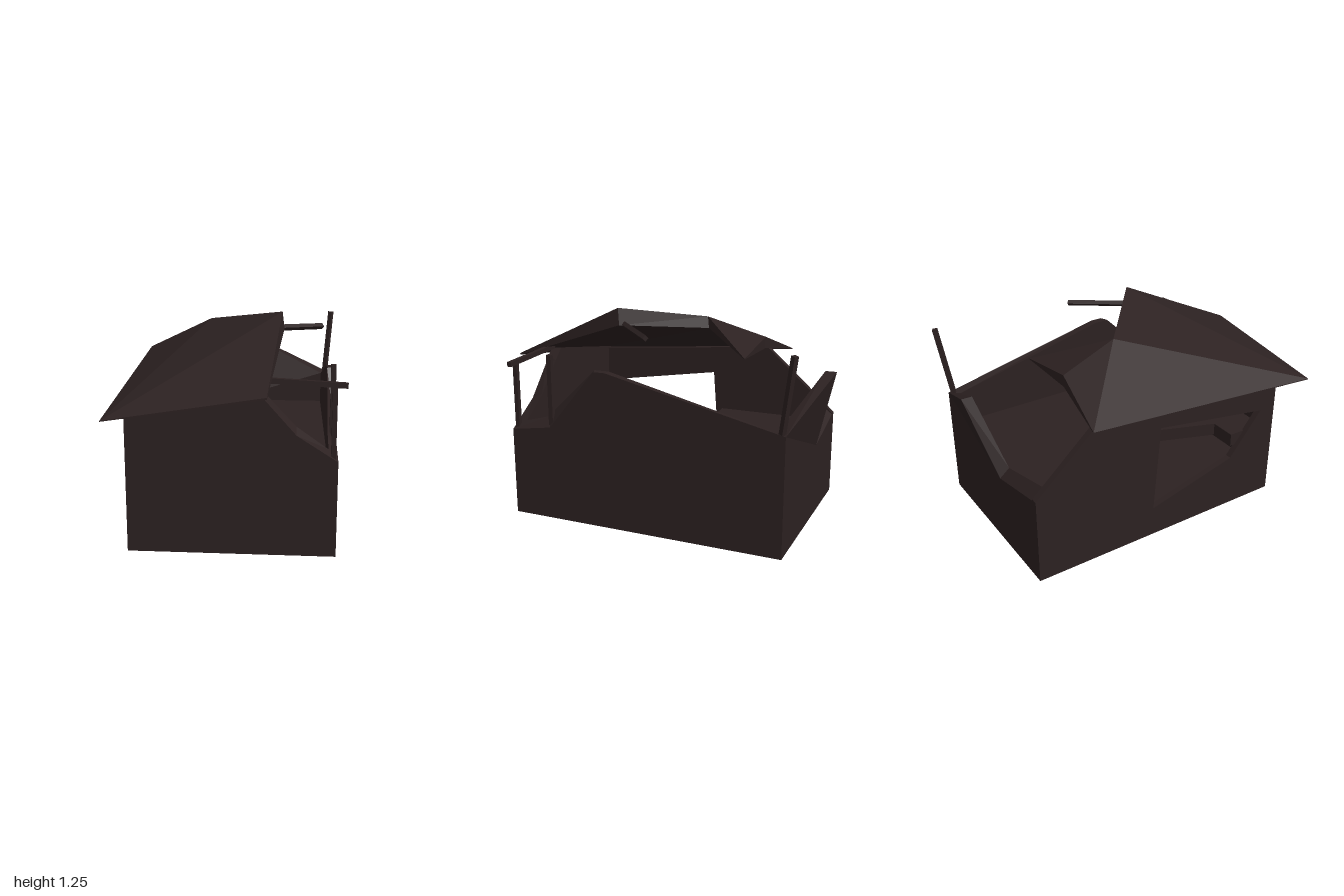
import * as THREE from 'three';

const BASE = 0.18;
const X0 = -0.54, X1 = 0.59, Z0 = -0.87, Z1 = 0.81;

export function createModel() {
  const group = new THREE.Group();
  const charred = new THREE.MeshStandardMaterial({ color: 0x2c2121 });
  charred.name = 'charredWood';
  charred.flatShading = true;
  charred.side = THREE.DoubleSide;

  const add = (name, geometry) => {
    const mesh = new THREE.Mesh(geometry, charred);
    mesh.name = name;
    group.add(mesh);
    return mesh;
  };

  // Plate of even thickness cut from a broken outline
  const toPoints = (pts) => pts.map(([u, v]) => new THREE.Vector2(u, v));
  const plate = (name, pts, depth, hole) => {
    const shape = new THREE.Shape(toPoints(pts));
    if (hole) shape.holes.push(new THREE.Path(toPoints(hole)));
    return add(name, new THREE.ExtrudeGeometry(shape, { depth, bevelEnabled: false }));
  };

  // Faceted slab: outer triangles, inner side moved by an offset per corner, rim around the outline
  const slab = (name, pts, offsets, tris) => {
    const low = pts.map((p, i) => p.map((v, k) => v + offsets[i][k]));
    const out = [];
    for (const [a, b, c] of tris) {
      out.push(...pts[a], ...pts[b], ...pts[c]);
      out.push(...low[a], ...low[c], ...low[b]);
    }
    pts.forEach((p, a) => {
      const b = (a + 1) % pts.length;
      out.push(...low[a], ...low[b], ...pts[b], ...low[a], ...pts[b], ...p);
    });
    const geometry = new THREE.BufferGeometry();
    geometry.setAttribute('position', new THREE.Float32BufferAttribute(out, 3));
    geometry.computeVertexNormals();
    return add(name, geometry);
  };

  // Square timber between two points
  const timber = (name, from, to, size) => {
    const a = new THREE.Vector3(...from), b = new THREE.Vector3(...to);
    const mesh = add(name, new THREE.BoxGeometry(size, size, a.distanceTo(b)));
    mesh.position.copy(a).lerp(b, 0.5);
    mesh.lookAt(b);
    return mesh;
  };

  // Broken walls whose torn rims rise towards the inside
  slab('frontWall', [
    [X0, BASE, Z1], [X1, BASE, Z1], [X1, 0.53, Z1], [0.37, 0.67, Z1],
    [0.2, 0.86, Z1], [0.17, 0.9, Z1], [0.13, 0.94, Z1], [X0, 0.82, Z1],
  ], [
    [0, 0, -0.07], [0, 0, -0.07], [-0.05, 0.05, -0.07], [0, 0.03, -0.07],
    [0, 0.02, -0.07], [0, 0.01, -0.07], [0, 0.01, -0.07], [0, 0.02, -0.07],
  ], [[0, 1, 3], [1, 2, 3], [0, 3, 4], [0, 4, 5], [0, 5, 6], [0, 6, 7]]);
  slab('backWall', [
    [X1, BASE, Z0], [X0, BASE, Z0], [X0, 0.535, Z0], [-0.1, 0.44, Z0], [X1, 0.69, Z0],
  ], [
    [0, 0, 0.06], [0, 0, 0.06], [0.04, 0.05, 0.07], [0, 0.05, 0.06], [-0.05, 0, 0.06],
  ], [[0, 1, 3], [1, 2, 3], [0, 3, 4]]);
  slab('leftWall', [
    [X1, BASE, Z1], [X1, BASE, Z0], [X1, 0.69, Z0], [X1, 0.93, 0.18],
    [X1, 0.93, 0.25], [X1, 0.57, 0.55], [X1, 0.53, Z1],
  ], [
    [-0.05, 0, 0], [-0.05, 0, 0], [-0.05, 0, 0.06], [-0.05, 0, 0],
    [-0.05, 0, 0.02], [-0.05, 0.05, 0.04], [-0.05, 0.05, -0.07],
  ], [[0, 1, 5], [1, 4, 5], [1, 3, 4], [1, 2, 3], [0, 5, 6]]);

  // Right wall with a jagged hole, drawn along z
  const rightWall = plate('rightWall', [
    [Z0, BASE], [Z1, BASE], [Z1, 0.83], [-0.43, 0.93], [Z0, 0.535],
  ], 0.04, [[-0.1, 0.19], [-0.06, 0.73], [0.7, 0.61], [0.48, 0.34]]);
  rightWall.rotation.y = -Math.PI / 2;
  rightWall.position.x = X0 + 0.04;

  // Thin open skirt below the base
  const cx = (X0 + X1) / 2, cz = (Z0 + Z1) / 2;
  for (const [x, z, width, turn] of [
    [cx, Z1, X1 - X0, 0], [cx, Z0, X1 - X0, Math.PI],
    [X1, cz, Z1 - Z0, Math.PI / 2], [X0, cz, Z1 - Z0, -Math.PI / 2],
  ]) {
    const panel = add('skirt', new THREE.PlaneGeometry(width, BASE));
    panel.position.set(x, BASE / 2, z);
    panel.rotation.y = turn;
  }
  const base = add('base', new THREE.PlaneGeometry(X1 - X0, Z1 - Z0));
  base.rotation.x = -Math.PI / 2;
  base.position.set(cx, BASE, cz);

  // Upper floor, broken away beside the hole in the right wall (outline in x and -z)
  const upperFloor = plate('upperFloor', [
    [-0.51, -0.75], [0.55, -0.75], [0.55, 0.815], [-0.51, 0.815],
    [-0.51, 0.12], [-0.16, 0.15], [-0.2, -0.1], [-0.35, -0.5], [-0.51, -0.5],
  ], 0.08);
  upperFloor.rotation.x = -Math.PI / 2;
  upperFloor.position.y = 0.405;

  // Collapsed roof, thickest along its broken ridge
  slab('roof', [
    [-0.62, 0.78, 1.0], [0.22, 0.91, 0.99], [0.28, 1.25, 0.25], [-0.17, 1.16, -0.14],
    [0.18, 0.99, -0.5], [-0.22, 1.05, -0.5], [-0.63, 0.91, -0.56],
  ], [
    [0, -0.005, 0], [0, -0.01, 0], [0.012, -0.1, -0.012], [0.012, -0.07, -0.012],
    [0, -0.005, 0], [0, -0.07, 0], [0, -0.005, 0],
  ], [[0, 1, 2], [0, 2, 3], [0, 3, 6], [6, 3, 5], [3, 4, 5]]);

  // Gable piece leaning out of the back wall
  slab('leaningGable', [[-0.1, 0.44, Z0], [0.04, 0.93, -1.0], [X1, 0.69, Z0]],
    [[0, 0.05, 0.06], [0, 0, 0.065], [-0.05, 0, 0.06]], [[0, 1, 2]]);

  // Remaining posts and beams
  timber('frontPost', [0.565, 0.46, 0.785], [0.565, 0.94, 0.785], 0.026);
  timber('sidePost', [0.565, 0.46, 0.55], [0.565, 1.0, 0.55], 0.028);
  timber('backPost', [0.565, 0.66, -0.84], [0.605, 1.12, -0.905], 0.028);
  timber('frontBeam', [0.15, 0.96, 0.785], [0.63, 0.935, 0.785], 0.028);
  timber('ridgeBeam', [0.24, 1.155, 0.24], [0.515, 1.13, -0.04], 0.026).rotateZ(Math.PI / 4);

  return group;
}
